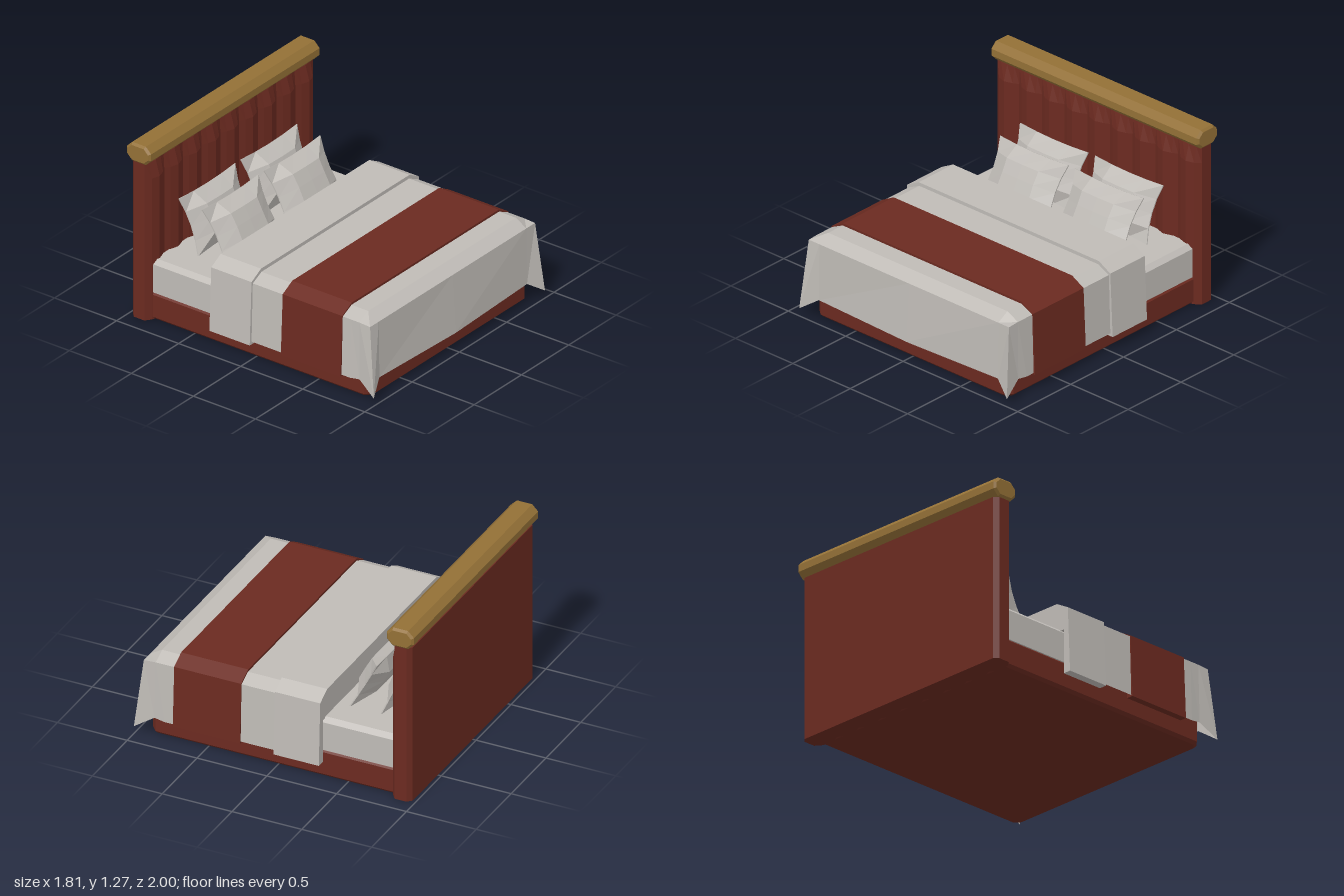
import * as THREE from 'three';

const red = new THREE.MeshStandardMaterial({ color: 0x6b2a20 });
red.name = 'oxblood upholstery';
const linen = new THREE.MeshStandardMaterial({ color: 0xbfbbb6, side: THREE.DoubleSide });
linen.name = 'pale grey linen';
const wood = new THREE.MeshStandardMaterial({ color: 0x937036 });
wood.name = 'golden wood';

// Faceted mesh: every face gets its own normal
function flatMesh(name, geometry, material) {
  const g = geometry.index ? geometry.toNonIndexed() : geometry;
  g.computeVertexNormals();
  const mesh = new THREE.Mesh(g, material);
  mesh.name = name;
  return mesh;
}

const toShape = (pts) => new THREE.Shape(pts.map(([x, y]) => new THREE.Vector2(x, y)));

// Closes half an outline (x >= 0) with its mirror image
const mirrored = (half) => [...half, ...half.slice().reverse().map(([x, y]) => [-x, y])];

// Outline in x and y, drawn out from z0 to z1
function extrudeZ(pts, z0, z1) {
  const g = new THREE.ExtrudeGeometry(toShape(pts), { depth: z1 - z0, bevelEnabled: false });
  return g.translate(0, 0, z0);
}

// Bed cover strip: a chamfered arch hanging over the mattress
function coverStrip(w, bottom, top, z0, z1) {
  const half = [
    [0.848, bottom], [w, bottom], [w - 0.02, top - 0.055], [w - 0.12, top],
  ];
  const inner = [[-0.848, bottom], [-0.848, 0.42], [0.848, 0.42]];
  const outer = [...half.slice(1), ...half.slice(1).reverse().map(([x, y]) => [-x, y])];
  return extrudeZ([...outer, ...inner, [0.848, bottom]], z0, z1);
}

// Surface through rows of equal point counts
function loft(rows) {
  const n = rows[0].length, index = [];
  for (let r = 0; r < rows.length - 1; r++) {
    for (let i = 0; i < n - 1; i++) {
      const a = r * n + i;
      index.push(a, a + n, a + 1, a + 1, a + n, a + n + 1);
    }
  }
  const g = new THREE.BufferGeometry();
  g.setAttribute('position', new THREE.Float32BufferAttribute(rows.flat(2), 3));
  g.setIndex(index);
  return g;
}

// Headboard: nine padded channels on a chamfered board, the padding sloping in at the top
function headboard() {
  const w = 0.89, channels = 9, step = (2 * w) / channels;
  const plan = [[-w, 0.945], [-w, 0.86]];
  for (let i = 0; i < channels; i++) {
    const x = -w + i * step;
    plan.push([x + step * 0.2, 0.83], [x + step * 0.5, 0.812], [x + step * 0.8, 0.83]);
    plan.push([x + step, i === channels - 1 ? 0.86 : 0.85]);
  }
  plan.push([w, 0.945], [w - 0.03, 0.975], [-w + 0.03, 0.975]);
  const g = new THREE.ExtrudeGeometry(toShape(plan), { depth: 1.14, steps: 2, bevelEnabled: false });
  g.rotateX(-Math.PI / 2);
  const p = g.attributes.position;
  for (let i = 0; i < p.count; i++) {
    const y = p.getY(i), z = p.getZ(i);
    if (Math.abs(y - 0.57) < 0.01) p.setY(i, 1.03);
    if (y > 1.1 && z > -0.86) p.setZ(i, -0.86 + (z + 0.86) * 0.35);
  }
  return g;
}

// Octagonal rail with bevelled ends
function capRail() {
  const [z0, z1, y0, y1, c, b] = [0.82, 0.985, 1.155, 1.26, 0.034, 0.015];
  const pts = [
    [z0 + c, y0], [z1 - c, y0], [z1, y0 + c], [z1, y1 - c],
    [z1 - c, y1], [z0 + c, y1], [z0, y1 - c], [z0, y0 + c],
  ];
  const g = new THREE.ExtrudeGeometry(toShape(pts), {
    depth: 1.78, bevelEnabled: true, bevelSegments: 1, bevelSize: b, bevelThickness: 0.015,
  });
  return g.translate(0, 0, -0.89).rotateY(Math.PI / 2);
}

// Base box with cut front corners and a bevelled rim
function base() {
  const b = 0.02, w = 0.845 - b;
  const plan = [[-w, 0.83], [-w, -0.865], [-0.785, -0.9], [0.785, -0.9], [w, -0.865], [w, 0.83]];
  const g = new THREE.ExtrudeGeometry(toShape(plan), {
    depth: 0.16, bevelEnabled: true, bevelSegments: 1, bevelSize: b, bevelThickness: b,
  });
  return g.translate(0, 0, b).rotateX(-Math.PI / 2);
}

// Duvet: draped shell whose front corners hang out in points
function duvet() {
  const across = (half, middle) => [
    ...half.map(([x, y, z]) => [-x, y, z]), middle, ...half.slice().reverse(),
  ];
  const section = (z) => across(
    [[0.885, 0.13, z], [0.872, 0.55, z], [0.78, 0.595, z]], [0, 0.595, z]);
  const corner = [0.905, 0.055, 1.0];
  return loft([
    section(-0.3),
    section(0.79),
    across([[0.88, 0.14, 0.865], [0.872, 0.55, 0.86], [0.78, 0.595, 0.86]], [0, 0.595, 0.86]),
    across([corner, [0.872, 0.545, 0.945], [0.78, 0.545, 0.945]], [0, 0.545, 0.945]),
    across([corner, corner, [0.78, 0.14, 0.95]], [0, 0.13, 0.97]),
  ]);
}

// Pillow: pinched corners, hollow edges and a full middle
function pillow() {
  const g = new THREE.BoxGeometry(2, 2, 2, 4, 4, 1);
  const p = g.attributes.position;
  for (let i = 0; i < p.count; i++) {
    const u = p.getX(i), v = p.getY(i), side = p.getZ(i);
    const full = Math.sqrt((1 - u ** 4) * (1 - v ** 4));
    p.setXYZ(i,
      u * 0.297 * (1 - 0.1 * (1 - v * v)),
      v * 0.2 * (1 - 0.06 * (1 - u * u)),
      side * (0.004 + 0.072 * full));
  }
  return g;
}

export function createModel() {
  const bed = new THREE.Group();
  bed.name = 'bed';

  bed.add(flatMesh('headboard', headboard(), red));
  bed.add(flatMesh('headboardRail', capRail(), wood));
  bed.add(flatMesh('bedBase', base(), red));

  const mattress = mirrored([[0.84, 0.195], [0.84, 0.4], [0.808, 0.43]]);
  bed.add(flatMesh('mattress', extrudeZ(mattress, -0.835, 0.88), linen));

  bed.add(flatMesh('duvet', duvet(), linen));
  bed.add(flatMesh('foldedCover', coverStrip(0.905, 0.11, 0.62, -0.325, 0), linen));
  bed.add(flatMesh('bedRunner', coverStrip(0.897, 0.12, 0.61, 0.245, 0.725), red));

  // Two rows of two pillows leaning on the headboard
  const rows = [['frontPillow', 0.604, -0.503, 0.5], ['backPillow', 0.615, -0.708, 0.4]];
  for (const [name, y, z, lean] of rows) {
    for (const s of [-1, 1]) {
      const m = flatMesh(name + (s > 0 ? 'Left' : 'Right'), pillow(), linen);
      m.position.set(s * 0.327, y, z);
      m.rotation.x = -lean;
      bed.add(m);
    }
  }
  return bed;
}
